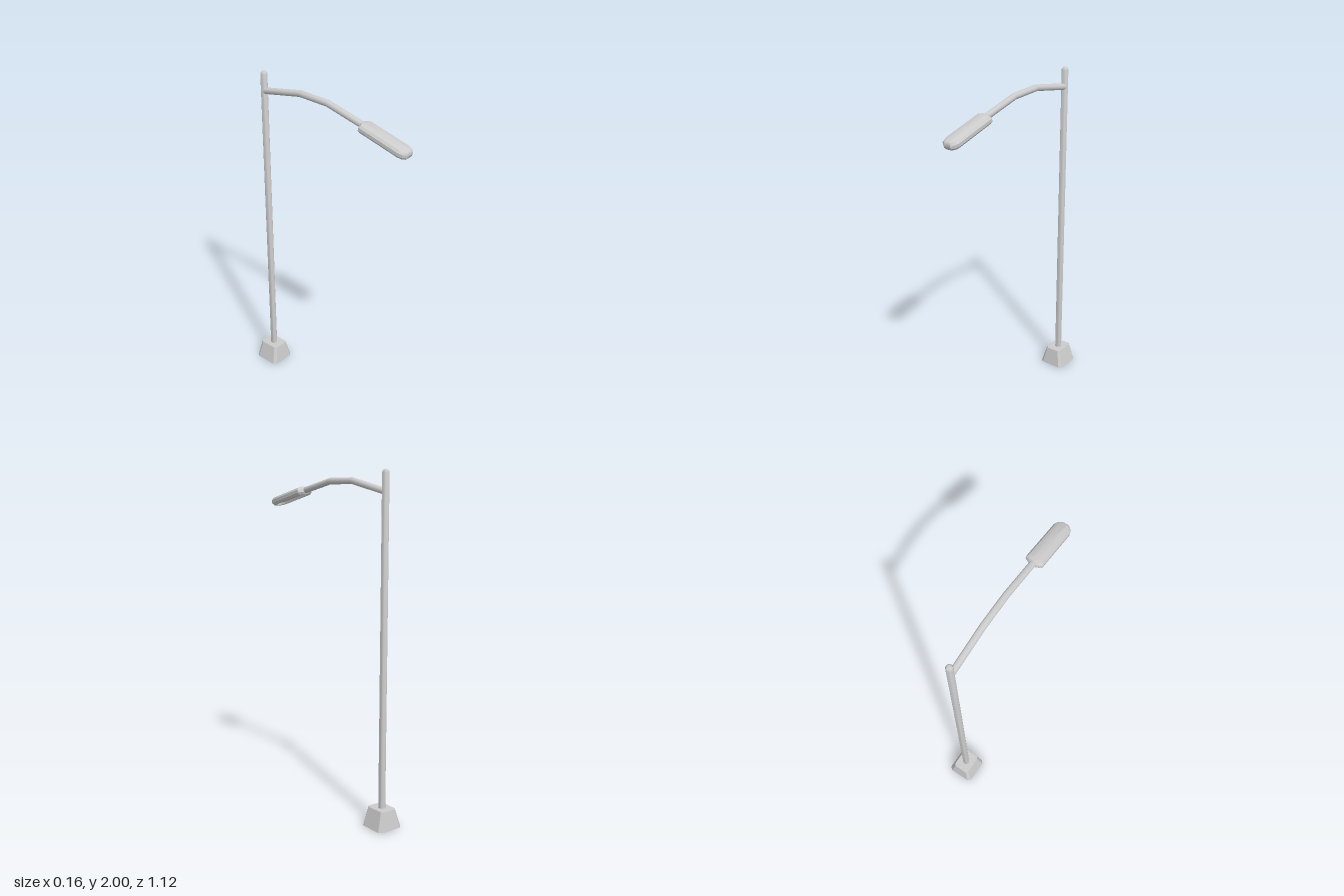
import * as THREE from 'three';
import { toCreasedNormals } from 'three/addons/utils/BufferGeometryUtils.js';

const POLE_Z = -0.48;
const material = new THREE.MeshStandardMaterial({ color: 0xcccccc });

function addPart(group, name, geometry, crease = 0.6) {
  const mesh = new THREE.Mesh(toCreasedNormals(geometry, crease), material);
  mesh.name = name;
  group.add(mesh);
  return mesh;
}

// Stacks scaled copies of an [x, z] outline; each layer is [scaleX, scaleZ, y]
function loft(outline, layers) {
  const positions = [];
  const n = outline.length;
  const point = (i, j) => {
    const [x, z] = outline[i % n];
    const [sx, sz, y] = layers[j];
    return [x * sx, y, z * sz];
  };
  for (let j = 0; j < layers.length - 1; j++) {
    for (let i = 0; i < n; i++) {
      const a = point(i, j), b = point(i + 1, j);
      const c = point(i, j + 1), d = point(i + 1, j + 1);
      if (layers[j][0] > 0) positions.push(...a, ...c, ...b);
      if (layers[j + 1][0] > 0) positions.push(...b, ...c, ...d);
    }
  }
  const geometry = new THREE.BufferGeometry();
  geometry.setAttribute('position', new THREE.Float32BufferAttribute(positions, 3));
  return geometry;
}

// Mirrors a half outline (running from back to front on +x) to the other side
const mirrored = (half) => [...half, ...half.map(([x, z]) => [-x, z]).reverse()];

// Cylinder whose rows follow a bent path of [z, y] points
function bentTube(path, radius, sides) {
  const rows = path.length - 1;
  const geometry = new THREE.CylinderGeometry(radius, radius, rows, sides, rows);
  const p = geometry.attributes.position;
  for (let i = 0; i < p.count; i++) {
    const row = Math.round(p.getY(i) + rows / 2);
    const [z0, y0] = path[Math.max(row - 1, 0)];
    const [z1, y1] = path[Math.min(row + 1, rows)];
    const angle = Math.atan2(y1 - y0, z1 - z0);
    const [z, y] = path[row];
    const off = p.getZ(i);
    p.setXYZ(i, p.getX(i), y - off * Math.cos(angle), z + off * Math.sin(angle));
  }
  return geometry;
}

export function createModel() {
  const group = new THREE.Group();
  group.name = 'streetLight';

  // Tapered footing with chamfered corners
  const footing = mirrored([[0.064, -0.085], [0.082, -0.067], [0.082, 0.067], [0.064, 0.085]]);
  const base = addPart(group, 'base', loft(footing, [
    [0, 0, 0], [1, 1, 0], [0.63, 0.78, 0.11], [0, 0, 0.11],
  ]));
  base.position.z = POLE_Z;

  // Pole with a rounded tip
  const profile = [[0.02, 0.1], [0.02, 1.982], [0.016, 1.993], [0.009, 1.999], [0, 2]];
  const pole = addPart(group, 'pole',
    new THREE.LatheGeometry(profile.map(([r, y]) => new THREE.Vector2(r, y)), 16), 0.8);
  pole.position.z = POLE_Z;

  // Bent arm reaching forward to the lamp
  addPart(group, 'arm',
    bentTube([[-0.475, 1.883], [-0.2, 1.934], [0, 1.929], [0.27, 1.866]], 0.019, 12));

  // Lamp housing with a recessed light opening underneath
  const housing = mirrored([
    [0.02, -0.165], [0.05, -0.148], [0.05, 0.125], [0.042, 0.148], [0.022, 0.165],
  ]);
  const lamp = addPart(group, 'lampHead', loft(housing, [
    [0, 0, -0.012], [0.55, 0.8, -0.012], [0.6, 0.82, -0.025], [0.8, 0.95, -0.025],
    [1, 1, -0.012], [1, 1, 0.006], [0.8, 0.96, 0.019], [0.4, 0.9, 0.025], [0, 0, 0.025],
  ]));
  lamp.position.set(0, 1.833, 0.398);
  lamp.rotation.x = 0.25;

  return group;
}
